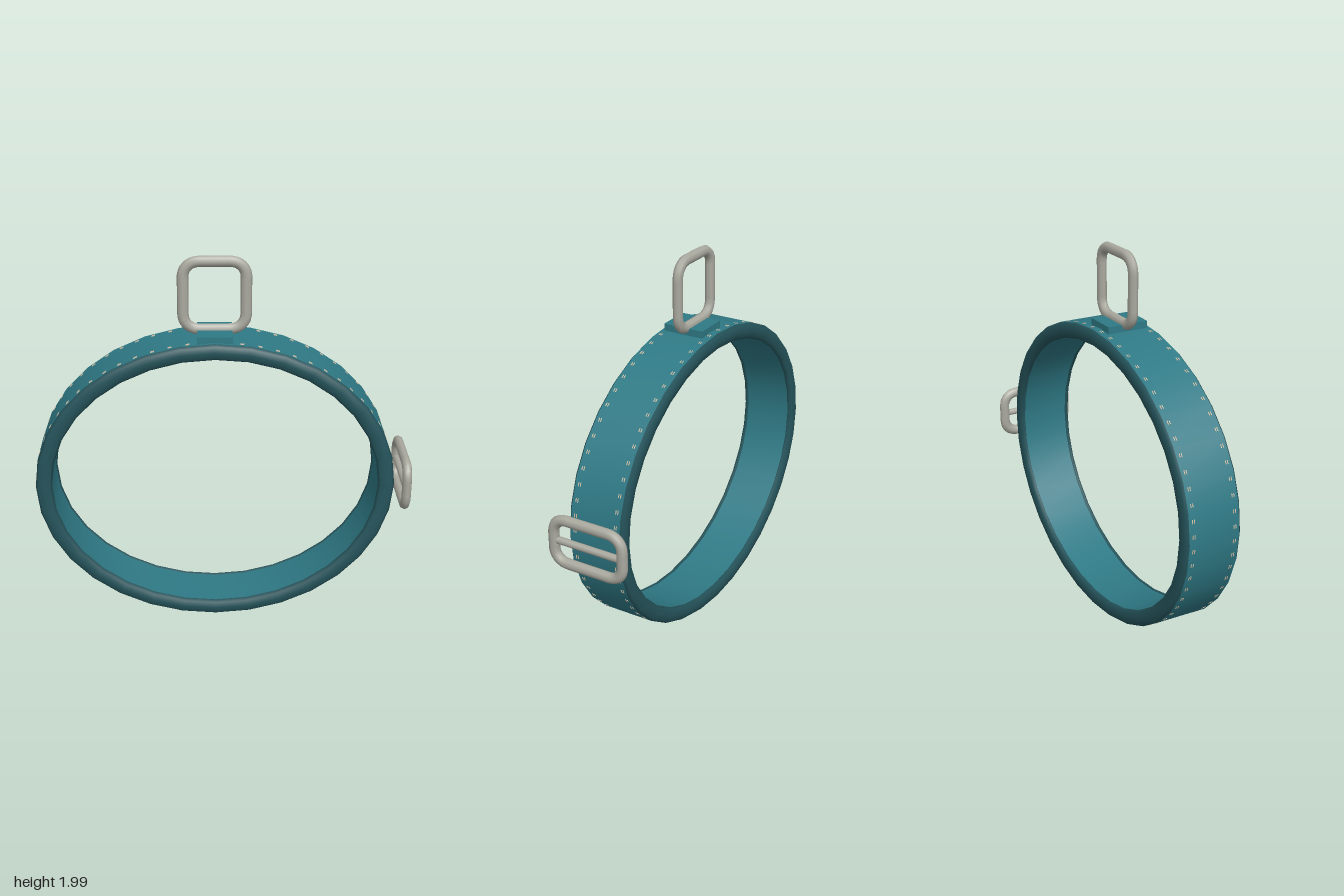
import * as THREE from 'three';
import { mergeGeometries, mergeVertices } from 'three/addons/utils/BufferGeometryUtils.js';

const CX = -0.041, CY = 0.797;   // centre of the collar
const RX = 0.939, RY = 0.79;     // outer radii of the oval
const SIDES = 32;

const mat = (name, color, side = THREE.FrontSide) => {
  const m = new THREE.MeshStandardMaterial({ color, side });
  m.name = name;
  return m;
};

// Oval ring from a profile of [offset from the outer surface, z]
function ovalRing(profile) {
  let g = new THREE.LatheGeometry(profile.map(([d, z]) => new THREE.Vector2(1 + d, z)), SIDES);
  g.rotateX(Math.PI / 2);
  const p = g.attributes.position;
  for (let i = 0; i < p.count; i++) {
    const x = p.getX(i), y = p.getY(i), r = Math.hypot(x, y);
    p.setXY(i, x * (RX - 1 + r) / r, y * (RY - 1 + r) / r);
  }
  g.deleteAttribute('normal');
  g.deleteAttribute('uv');
  g = mergeVertices(g, 1e-4);
  g.computeVertexNormals();
  return g;
}

// Rounded rectangular wire frame in the xy plane
function wireFrame(hw, hh, corner, r) {
  const pts = [];
  for (let q = 0; q < 4; q++) {
    const sx = q === 0 || q === 3 ? 1 : -1, sy = q < 2 ? 1 : -1;
    for (let k = 0; k <= 4; k++) {
      const a = (q + k / 4) * Math.PI / 2;
      pts.push(new THREE.Vector3(sx * (hw - corner) + corner * Math.cos(a), sy * (hh - corner) + corner * Math.sin(a), 0));
    }
  }
  const path = new THREE.CurvePath();
  pts.forEach((p, i) => path.add(new THREE.LineCurve3(p, pts[(i + 1) % pts.length])));
  const curve = new THREE.CatmullRomCurve3(path.getSpacedPoints(48).slice(0, -1), true);
  return new THREE.TubeGeometry(curve, 64, r, 8, true).scale(1, 1, 0.86);
}

export function createModel() {
  const root = new THREE.Group();
  root.name = 'collar';
  const teal = mat('teal webbing', 0x2f7a86);
  const dark = mat('dark teal binding', 0x25545b);
  const metal = mat('brushed metal', 0xacaba1);
  const thread = mat('cream thread', 0xd6c3a8);
  const add = (name, geo, material, x = CX, y = CY, z = 0) => {
    const m = new THREE.Mesh(geo, material);
    m.name = name;
    m.position.set(x, y, z);
    root.add(m);
    return m;
  };

  // Webbing band
  add('bandOuter', ovalRing([[0, -0.139], [0, 0.139]]), teal);
  add('bandInner', ovalRing([[-0.078, 0.139], [-0.078, -0.139]]), teal);

  // Rounded binding on both edges
  for (const s of [1, -1]) {
    const profile = [];
    for (let k = 0; k <= 8; k++) {
      const a = k * Math.PI / 4;
      profile.push([-0.0425 + 0.0425 * Math.cos(a), s * 0.137 + 0.02 * Math.sin(a)]);
    }
    add(s > 0 ? 'frontBinding' : 'backBinding', ovalRing(profile), dark);
  }

  // Double rows of stitches, laid flat on the band's facets
  const corner = k => {
    const a = k * 2 * Math.PI / SIDES;
    return new THREE.Vector2(RX * Math.cos(a), RY * Math.sin(a));
  };
  const stitches = [];
  for (let k = 0; k < SIDES; k++) {
    const a = corner(k), b = corner(k + 1);
    const turn = Math.atan2(b.y - a.y, b.x - a.x);
    for (const t of [0.25, 0.75]) {
      const p = a.clone().lerp(b, t);
      for (const z of [-0.12, -0.109, 0.109, 0.12]) {
        stitches.push(new THREE.BoxGeometry(0.02, 0.005, 0.004).rotateZ(turn).translate(p.x, p.y, z));
      }
    }
  }
  add('stitching', mergeGeometries(stitches), thread);

  // Tab holding the top loop
  add('loopTab', new THREE.BoxGeometry(0.18, 0.115, 0.222), teal, CX, 1.5595, 0.012);

  // Top loop
  add('topLoop', wireFrame(0.159, 0.177, 0.075, 0.029), metal, CX, 1.794);

  // Side buckle with its centre bar
  const buckle = new THREE.Group();
  buckle.name = 'sideBuckle';
  buckle.position.set(0.955, CY, 0);
  buckle.rotation.y = Math.PI / 2;
  const frame = new THREE.Mesh(wireFrame(0.196, 0.119, 0.07, 0.029), metal);
  frame.name = 'buckleFrame';
  const bar = new THREE.Mesh(new THREE.CylinderGeometry(0.019, 0.019, 0.37, 8).rotateZ(Math.PI / 2), metal);
  bar.name = 'buckleBar';
  buckle.add(frame, bar);
  root.add(buckle);
  return root;
}
